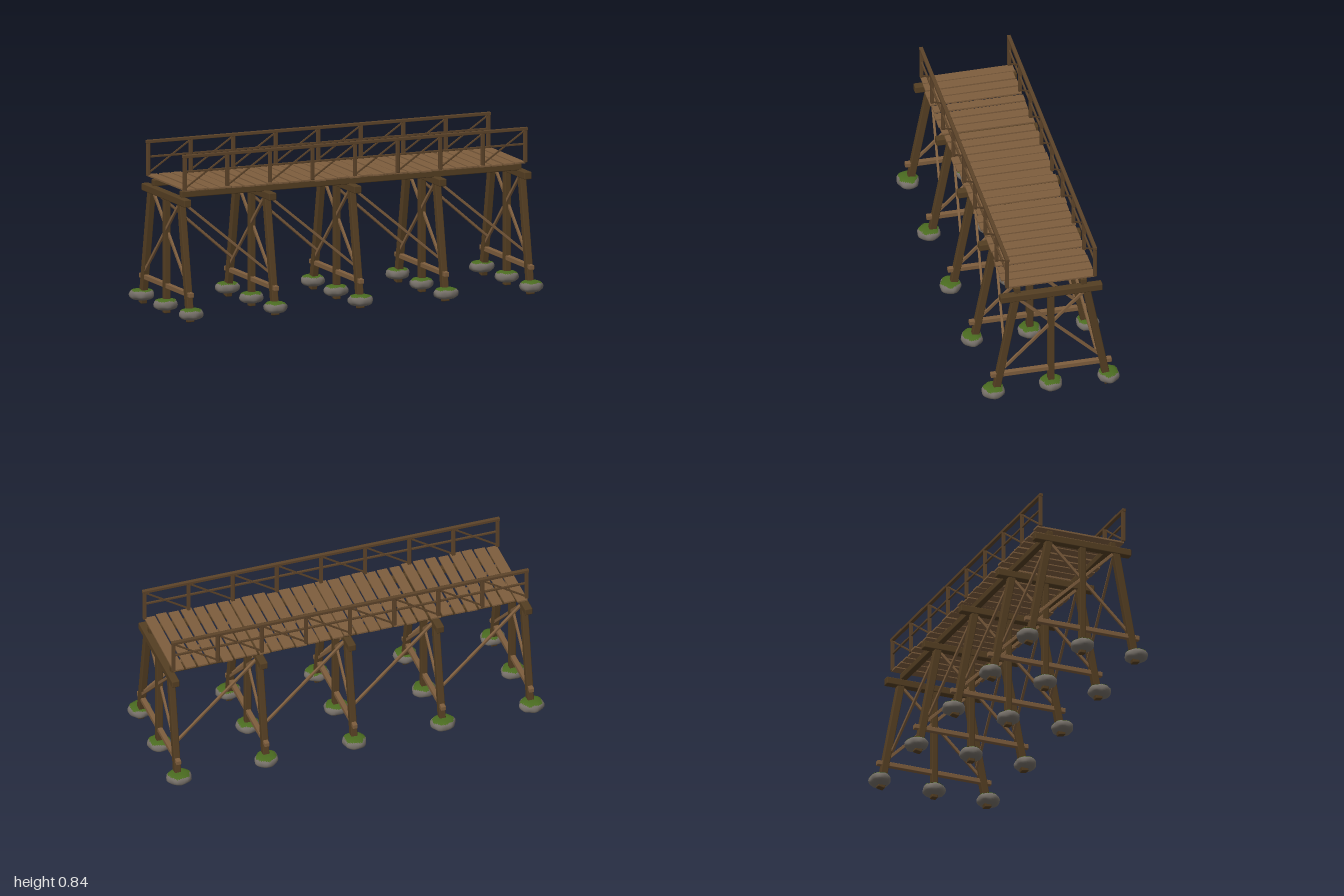
import * as THREE from 'three';
import { RoundedBoxGeometry } from 'three/addons/geometries/RoundedBoxGeometry.js';
import { mergeVertices } from 'three/addons/utils/BufferGeometryUtils.js';

const material = (name, color, side = THREE.FrontSide) => {
  const m = new THREE.MeshStandardMaterial({ color, side });
  m.name = name;
  return m;
};

export function createModel() {
  const root = new THREE.Group();
  root.name = 'trestleBridge';

  const darkWood = material('dark timber', 0x543e22);
  const lightWood = material('light timber', 0x7d5d3d);
  const railWood = material('rail timber', 0x5c4329);
  const stone = material('stone', 0x746e67);
  const moss = material('moss', 0x4a6b20, THREE.DoubleSide);

  let seed = 11;
  const rand = () => (seed = (seed * 16807) % 2147483647) / 2147483647;
  const jitter = (amount) => (rand() - 0.5) * 2 * amount;

  const group = (name) => {
    const g = new THREE.Group();
    g.name = name;
    root.add(g);
    return g;
  };

  // Bevelled timber running from point a to point b
  const up = new THREE.Vector3(0, 1, 0);
  function beam(parent, name, a, b, w, d, mat) {
    const start = new THREE.Vector3(...a), end = new THREE.Vector3(...b);
    const dir = end.clone().sub(start);
    const bevel = Math.min(w, d) * 0.14;
    const mesh = new THREE.Mesh(new RoundedBoxGeometry(w, dir.length(), d, 1, bevel), mat);
    mesh.position.copy(start).add(end).multiplyScalar(0.5);
    mesh.quaternion.setFromUnitVectors(up, dir.normalize());
    mesh.name = name;
    parent.add(mesh);
    return mesh;
  }

  // Lumpy boulder surface; the moss cap uses its top part with a wavy edge
  function boulderGeometry(phase, cap) {
    const geo = new THREE.SphereGeometry(1, 28, cap ? 6 : 14);
    geo.deleteAttribute('uv');
    geo.deleteAttribute('normal');
    const p = geo.attributes.position;
    for (let i = 0; i < p.count; i++) {
      const a = Math.atan2(p.getZ(i), p.getX(i));
      let t = Math.acos(THREE.MathUtils.clamp(p.getY(i), -1, 1));
      if (cap) t *= 0.31 + 0.03 * Math.sin(5 * a + phase) + 0.02 * Math.sin(9 * a - phase);
      const lump = 1 + 0.04 * Math.sin(2 * a + phase) + 0.035 * Math.sin(5 * a - 2 * phase + 2 * t)
        + 0.02 * Math.sin(7 * a + phase - 3 * t);
      const r = Math.pow(Math.max(Math.sin(t), 0), 0.65) * lump * (cap ? 1.02 : 1);
      const c = Math.cos(t);
      const y = Math.sign(c) * Math.pow(Math.abs(c), 0.85);
      p.setXYZ(i, r * 0.062 * Math.cos(a), y * 0.028 + (cap ? 0.0015 : 0), r * 0.056 * Math.sin(a));
    }
    const merged = mergeVertices(geo, 1e-5);
    merged.computeVertexNormals();
    return merged;
  }

  function boulder(parent, x, z) {
    const phase = rand() * 6.28;
    for (const cap of [false, true]) {
      const mesh = new THREE.Mesh(boulderGeometry(phase, cap), cap ? moss : stone);
      mesh.name = cap ? 'mossCap' : 'footingStone';
      mesh.position.set(x, 0.047, z);
      parent.add(mesh);
    }
  }

  // Five trestle bents
  const spacing = 0.465;
  for (let i = -2; i <= 2; i++) {
    const x = i * spacing;
    const bent = group('trestleBent');
    beam(bent, 'centrePost', [x, 0.003, 0], [x, 0.6, 0], 0.034, 0.033, darkWood);
    beam(bent, 'capBeam', [x, 0.601, -0.262], [x, 0.601, 0.262], 0.041, 0.038, darkWood);
    beam(bent, 'sillBeam', [x, 0.143, -0.31], [x, 0.143, 0.31], 0.026, 0.025, lightWood);
    boulder(bent, x + jitter(0.004), 0);
    for (const s of [-1, 1]) {
      beam(bent, 'rakedLeg', [x, 0.005, s * 0.291], [x, 0.6, s * 0.18], 0.034, 0.038, darkWood);
      beam(bent, 'crossBrace', [x + s * 0.006, 0.175, s * 0.25], [x + s * 0.006, 0.59, -s * 0.175],
        0.012, 0.015, lightWood);
      boulder(bent, x + jitter(0.005), s * 0.296);
    }
  }

  // Diagonal braces between neighbouring bents
  const bracing = group('longitudinalBraces');
  for (let i = -2; i < 2; i++) {
    for (const s of [-1, 1]) {
      beam(bracing, 'longBrace', [i * spacing + 0.005, 0.597, s * 0.178],
        [(i + 1) * spacing, 0.208, s * 0.232], 0.013, 0.013, lightWood);
    }
  }

  // Stringers and plank deck
  const deck = group('deck');
  for (const s of [-1, 1]) {
    beam(deck, 'stringer', [-0.93, 0.634, s * 0.17], [0.93, 0.634, s * 0.17], 0.033, 0.032, darkWood);
  }
  const planks = 29, pitch = 1.87 / planks;
  for (let i = 0; i < planks; i++) {
    const x = (i - (planks - 1) / 2) * pitch, shift = jitter(0.006), y = 0.662 + jitter(0.002);
    const half = 0.233 + jitter(0.004);
    const plank = beam(deck, 'plank', [x, y, shift - half], [x, y, shift + half],
      0.054 + jitter(0.003), 0.01, lightWood);
    plank.rotateZ(jitter(0.008));
  }

  // Railings along both sides
  const bay = 0.2325;
  for (const s of [-1, 1]) {
    const rail = group(s > 0 ? 'frontRailing' : 'backRailing');
    const z = s * 0.225;
    beam(rail, 'topRail', [-0.942, 0.834, z], [0.942, 0.834, z], 0.016, 0.019, railWood);
    beam(rail, 'midRail', [-0.93, 0.757, z], [0.93, 0.757, z], 0.01, 0.01, railWood);
    for (let i = -4; i <= 4; i++) {
      const x = i * bay;
      beam(rail, 'railPost', [x, 0.664, z], [x, 0.83, z], 0.018, 0.018, railWood);
      if (i < 4) {
        beam(rail, 'railBrace', [x + 0.005, 0.676, z], [x + bay - 0.005, 0.824, z], 0.008, 0.008, railWood);
      }
    }
  }

  return root;
}
